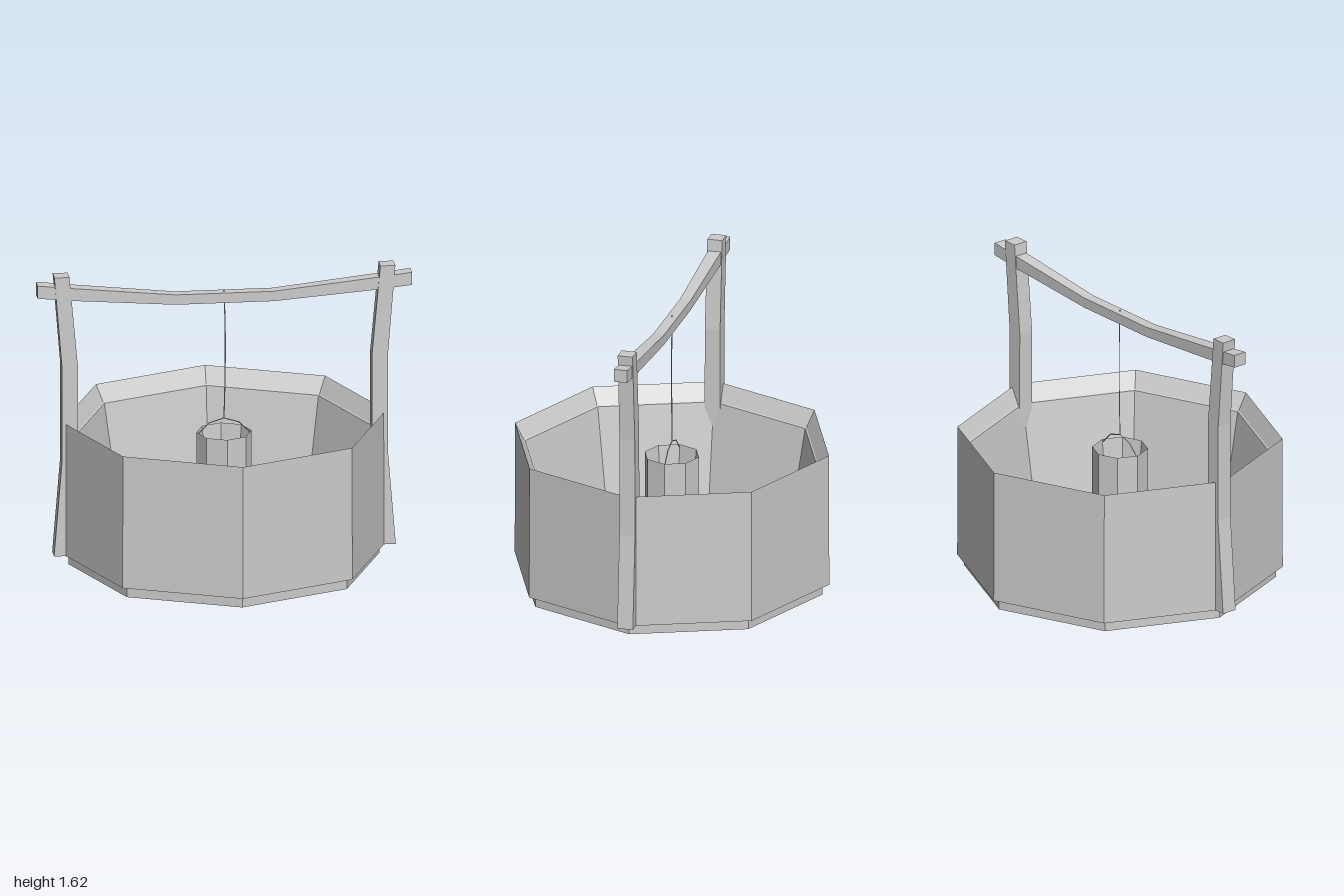
import * as THREE from 'three';

const material = new THREE.MeshStandardMaterial({ color: 0xcccccc, flatShading: true, side: THREE.DoubleSide });

function add(group, name, geometry) {
  const mesh = new THREE.Mesh(geometry, material);
  mesh.name = name;
  group.add(mesh);
}

// Eight-sided turned shape with a corner facing front
function octagon(profile) {
  return new THREE.LatheGeometry(profile.map(([r, y]) => new THREE.Vector2(r, y)), 8);
}

// Thin cord through a few points in the plane z = 0
function cord(points, segments) {
  const path = new THREE.CatmullRomCurve3(points.map(([x, y]) => new THREE.Vector3(x, y, 0)));
  return new THREE.TubeGeometry(path, segments, 0.003, 4);
}

// Bent timber: sections [along, low, high, halfDepth] run along x, z is the depth
function timber(sections) {
  const pos = [], index = [];
  for (const [a, lo, hi, d] of sections) pos.push(a, lo, d, a, hi, d, a, hi, -d, a, lo, -d);
  for (let s = 0; s < sections.length - 1; s++) {
    for (let k = 0; k < 4; k++) {
      const a = s * 4 + k, b = s * 4 + (k + 1) % 4;
      index.push(a, a + 4, b, b, a + 4, b + 4);
    }
  }
  const e = (sections.length - 1) * 4;
  index.push(0, 1, 2, 0, 2, 3, e, e + 2, e + 1, e, e + 3, e + 2);
  const geometry = new THREE.BufferGeometry();
  geometry.setAttribute('position', new THREE.Float32BufferAttribute(pos, 3));
  geometry.setIndex(index);
  const flat = geometry.toNonIndexed();
  flat.computeVertexNormals();
  return flat;
}

export function createModel() {
  const group = new THREE.Group();

  // Basin: plinth, outer wall, bevelled rim, sloping inner wall and floor
  add(group, 'basin', octagon([
    [0, 0], [0.83, 0], [0.83, 0.06], [0.867, 0.06], [0.865, 0.795],
    [0.816, 0.705], [0.808, 0.7], [0.71, 0.14], [0, 0.14],
  ]));

  // Posts: drawn lying along x, then stood upright; the second is turned round
  const postSections = [
    [0.06, 0.83, 0.912, 0.043], [0.58, 0.785, 0.87, 0.043],
    [1.12, 0.785, 0.87, 0.042], [1.615, 0.83, 0.91, 0.041],
  ];
  for (const [name, turn] of [['leftPost', Math.PI], ['rightPost', 0]]) {
    const post = timber(postSections);
    post.rotateZ(Math.PI / 2);
    post.rotateY(turn);
    add(group, name, post);
  }

  // Sagging crossbeam
  add(group, 'crossbeam', timber([
    [-1, 1.502, 1.572, 0.037], [-0.83, 1.483, 1.552, 0.036], [-0.26, 1.437, 1.492, 0.03],
    [0.26, 1.437, 1.492, 0.03], [0.83, 1.483, 1.552, 0.036], [1, 1.502, 1.572, 0.037],
  ]));

  // Rope
  add(group, 'rope', cord([[0, 1.5], [0.006, 1.3], [0.006, 1.05], [0, 0.785]], 8));

  // Bucket with sloping inside
  add(group, 'bucket', octagon([
    [0, 0.32], [0.148, 0.32], [0.148, 0.71], [0.115, 0.37], [0, 0.37],
  ]));

  // Bucket handle
  add(group, 'bucketHandle', cord([[-0.14, 0.7], [-0.08, 0.76], [0, 0.785], [0.08, 0.76], [0.14, 0.7]], 4));

  return group;
}
